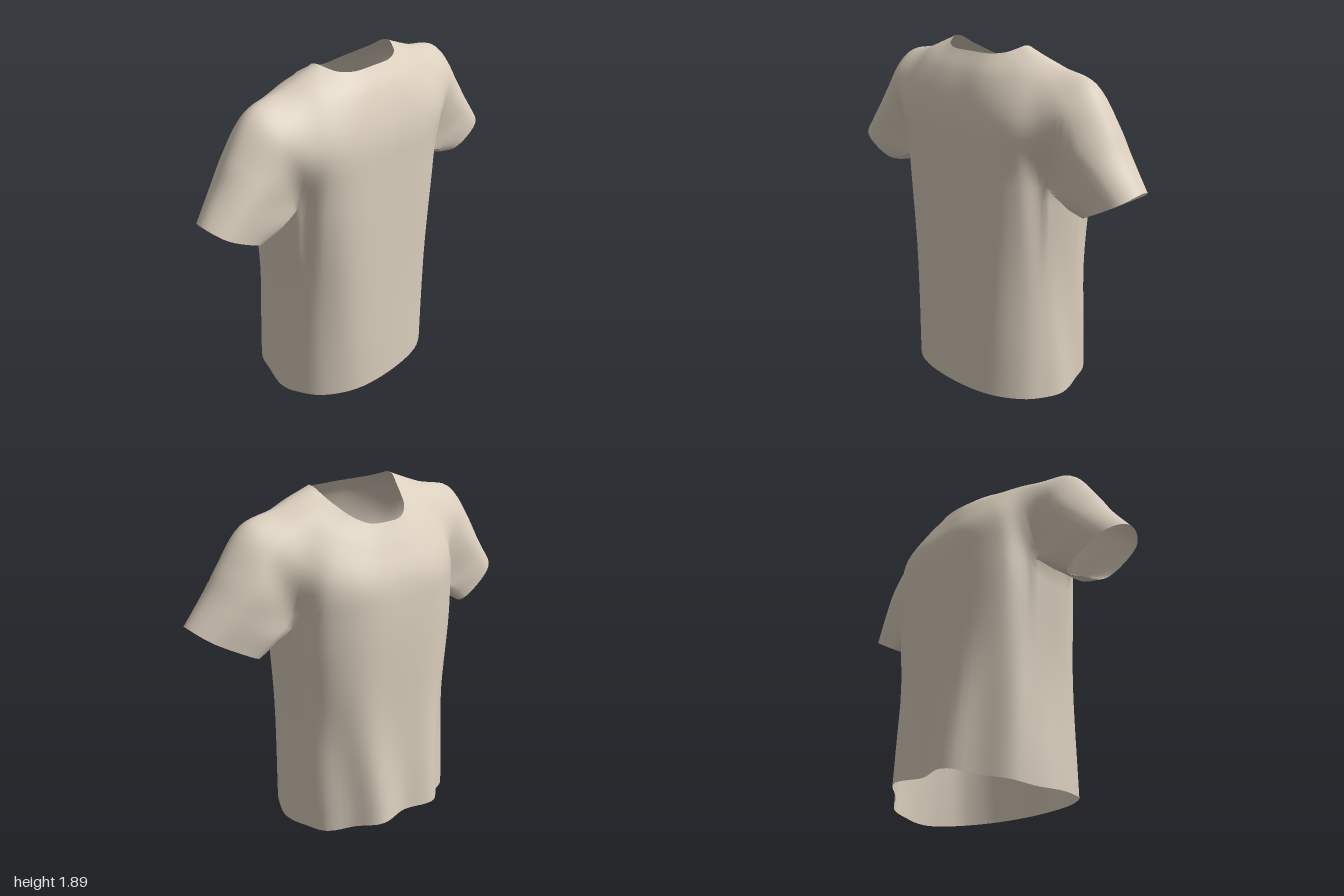
import * as THREE from 'three';
import { mergeGeometries, mergeVertices } from 'three/addons/utils/BufferGeometryUtils.js';

const K = 6; // steps between neighbouring key points
const V = (p) => new THREE.Vector3(...p);
const flip = (v) => new THREE.Vector3(-v.x, v.y, v.z);

// Closed smooth ring through key points
function ring(pts) {
  const curve = new THREE.CatmullRomCurve3(pts, true, 'catmullrom', 0.5);
  const n = pts.length * K;
  return Array.from({ length: n + 1 }, (_, i) => curve.getPoint(i / n));
}

// Left half (front centre to back centre) of a mirrored ring
function halfRing(rows) {
  const half = rows.map(V);
  const other = half.slice(1, -1).reverse().map(flip);
  return ring([...half, ...other]).slice(0, (half.length - 1) * K + 1);
}

// Points on a column spline between key rows a and b
function column(pts, a, b) {
  const curve = new THREE.CatmullRomCurve3(pts, false, 'centripetal');
  const n = (b - a) * K, last = pts.length - 1;
  return Array.from({ length: n + 1 }, (_, i) => curve.getPoint((a + i / K) / last));
}

// Surface from side-by-side columns
function skin(columns, mirrored) {
  const rows = columns[0].length, pos = [], index = [];
  columns.forEach((c) => c.forEach((p) => pos.push(mirrored ? -p.x : p.x, p.y, p.z)));
  for (let c = 0; c < columns.length - 1; c++) {
    for (let r = 0; r < rows - 1; r++) {
      const a = c * rows + r, b = a + rows;
      if (mirrored) index.push(a, b, a + 1, b, b + 1, a + 1);
      else index.push(a, a + 1, b, b, a + 1, b + 1);
    }
  }
  const g = new THREE.BufferGeometry();
  g.setAttribute('position', new THREE.Float32BufferAttribute(pos, 3));
  g.setIndex(index);
  return g;
}

// Soft folds that sweep from the sides down towards the back
function addFolds(g) {
  const p = g.attributes.position;
  for (let i = 0; i < p.count; i++) {
    const x = p.getX(i), y = p.getY(i), z = p.getZ(i);
    if (Math.abs(x) > 0.53) continue;
    const drop = 1 - THREE.MathUtils.smoothstep(y, 0.2, 1.1);
    const back = 1 - THREE.MathUtils.smoothstep(z, -0.2, 0.25);
    const a = Math.hypot(Math.atan2(x, -z), 0.2), r = Math.hypot(x, z);
    const d = -0.014 * drop * back * Math.cos(9 * a - 3 * y - 3.6 + 3.14);
    const out = 1 + d / r;
    p.setXYZ(i, x * out, y, z * out);
  }
}

export function createModel() {
  // Yoke rings: front centre, around the shoulder, to back centre
  const yokeRings = [
    [[0, 1.85, 0.24], [0.12, 1.85, 0.235], [0.2, 1.86, 0.2], [0.237, 1.877, 0.155], [0.255, 1.89, 0.115], [0.252, 1.882, 0.07],
      [0.235, 1.85, 0.02], [0.21, 1.81, -0.05], [0.17, 1.765, -0.13], [0.1, 1.73, -0.185], [0, 1.725, -0.2]],
    [[0, 1.75, 0.31], [0.15, 1.75, 0.31], [0.29, 1.75, 0.285], [0.38, 1.77, 0.235], [0.44, 1.8, 0.155], [0.46, 1.81, 0.08],
      [0.43, 1.78, -0.01], [0.37, 1.73, -0.09], [0.28, 1.66, -0.19], [0.15, 1.61, -0.255], [0, 1.6, -0.265]],
    [[0, 1.55, 0.38], [0.22, 1.55, 0.38], [0.38, 1.54, 0.36], [0.5, 1.54, 0.31], [0.62, 1.66, 0.235], [0.66, 1.76, 0.085],
      [0.61, 1.67, -0.05], [0.48, 1.54, -0.145], [0.385, 1.49, -0.25], [0.22, 1.45, -0.325], [0, 1.45, -0.33]],
    [[0, 1.25, 0.395], [0.27, 1.25, 0.39], [0.42, 1.24, 0.325], [0.5, 1.24, 0.215], [0.7, 1.47, 0.258], [0.805, 1.575, 0.09],
      [0.69, 1.48, -0.095], [0.5, 1.24, -0.08], [0.425, 1.24, -0.235], [0.25, 1.25, -0.335], [0, 1.25, -0.355]],
  ].map(halfRing);

  // Body rings: waist and hem
  const bodyRings = [
    [[0, 0.65, 0.41], [0.27, 0.65, 0.39], [0.415, 0.65, 0.29], [0.47, 0.65, 0.17], [0.478, 0.65, 0.05],
      [0.465, 0.65, -0.08], [0.395, 0.65, -0.235], [0.22, 0.65, -0.35], [0, 0.65, -0.365]],
    [[0, 0.03, 0.43], [0.25, 0.03, 0.4], [0.42, 0.02, 0.29], [0.49, 0.005, 0.15], [0.507, 0, 0.03],
      [0.48, 0.005, -0.1], [0.385, 0.03, -0.25], [0.2, 0.08, -0.405], [0, 0.08, -0.395]],
  ].map(halfRing);

  // Sleeve rings: front armpit, over the arm, back armpit, underarm
  const sleeveRings = [
    [[0.63, 1.17, 0.22], [0.82, 1.365, 0.242], [0.885, 1.44, 0.09], [0.8, 1.36, -0.07], [0.61, 1.17, -0.07], [0.605, 1.155, 0.07]],
    [[0.75, 1.135, 0.22], [0.94, 1.24, 0.225], [1, 1.29, 0.1], [0.92, 1.23, -0.03], [0.7, 1.1, -0.055], [0.7, 1.105, 0.08]],
  ].map((r) => ring(r.map(V)));

  // Underarm edge where body and sleeve part
  const split = yokeRings[3], A = 3 * K, B = 7 * K;
  const under = new THREE.CatmullRomCurve3([split[A], V([0.52, 1.215, 0.07]), split[B]]).getPoints(2 * K);

  const yokeCol = (i) => yokeRings.map((r) => r[i]);
  const bodyCol = (i) => bodyRings.map((r) => r[i]);
  const sleeveCol = (i) => sleeveRings.map((r) => r[i]);
  const yoke = [], body = [], sleeve = [];
  for (let i = 0; i <= 10 * K; i++) {
    const onArm = i > A && i < B;
    const lower = onArm ? sleeveCol(i - A) : bodyCol(i <= A ? i : i - 2 * K);
    yoke.push(column([...yokeCol(i), ...lower], 0, 3));
  }
  for (let i = 0; i <= 8 * K; i++) {
    const inUnder = i > A && i < A + 2 * K;
    body.push(inUnder
      ? column([under[i - A], ...bodyCol(i)], 0, 2)
      : column([...yokeCol(i <= A ? i : i + 2 * K), ...bodyCol(i)], 3, 5));
  }
  for (let i = 0; i <= 6 * K; i++) {
    sleeve.push(i <= 4 * K
      ? column([...yokeCol(A + i), ...sleeveCol(i)], 3, 5)
      : column([under[6 * K - i], ...sleeveCol(i)], 0, 2));
  }

  // Weld all panels so shading runs smoothly across them
  const panels = [
    ['yoke', skin(yoke, false)], ['yoke', skin(yoke, true)],
    ['body', skin(body, false)], ['body', skin(body, true)],
    ['leftSleeve', skin(sleeve, false)], ['rightSleeve', skin(sleeve, true)],
  ];
  const whole = mergeVertices(mergeGeometries(panels.map((p) => p[1])), 1e-4);
  addFolds(whole);
  whole.computeVertexNormals();

  // Hand each part its own share of the welded surface
  const fabric = new THREE.MeshStandardMaterial({ color: 0xdacebd, side: THREE.DoubleSide });
  fabric.name = 'beige fabric';
  const shirt = new THREE.Group();
  shirt.name = 'shirt';
  const all = Array.from(whole.index.array);
  let start = 0;
  const shares = {};
  for (const [name, g] of panels) {
    const end = start + g.index.count;
    shares[name] = (shares[name] || []).concat(all.slice(start, end));
    start = end;
  }
  for (const [name, index] of Object.entries(shares)) {
    const part = whole.clone();
    part.setIndex(index);
    const mesh = new THREE.Mesh(part.toNonIndexed(), fabric);
    mesh.name = name;
    shirt.add(mesh);
  }
  return shirt;
}
